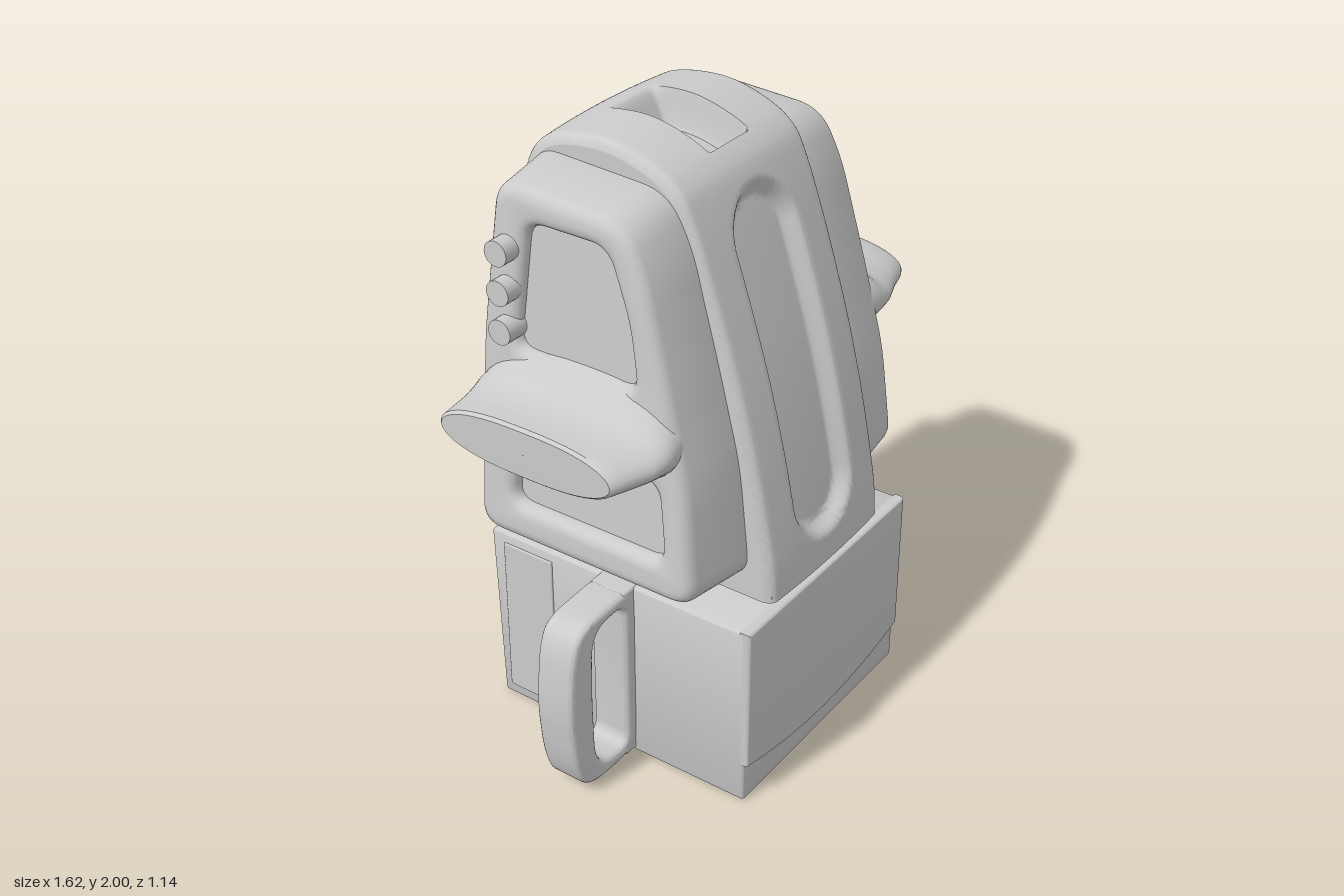
import * as THREE from 'three';
import { toCreasedNormals } from 'three/addons/utils/BufferGeometryUtils.js';
import { RoundedBoxGeometry } from 'three/addons/geometries/RoundedBoxGeometry.js';

const grey = new THREE.MeshStandardMaterial({ color: 0xcccccc });
const greyDouble = new THREE.MeshStandardMaterial({ color: 0xcccccc, side: THREE.DoubleSide });
const smooth = THREE.MathUtils.smoothstep;

function add(parent, name, geometry, x = 0, y = 0, z = 0, material = grey) {
  const mesh = new THREE.Mesh(geometry, material);
  mesh.name = name;
  mesh.position.set(x, y, z);
  parent.add(mesh);
  return mesh;
}

// Polygon with rounded corners, always counter-clockwise
function rounded(pts, r, path = new THREE.Shape()) {
  const v = pts.map(p => new THREE.Vector2(...p)), n = v.length;
  if (THREE.ShapeUtils.isClockWise(v)) v.reverse();
  const toward = (a, b) => a.clone().lerp(b, Math.min(0.48, r / a.distanceTo(b)));
  v.forEach((p, i) => {
    const s = toward(p, v[(i + n - 1) % n]), e = toward(p, v[(i + 1) % n]);
    if (i === 0) path.moveTo(s.x, s.y); else path.lineTo(s.x, s.y);
    path.quadraticCurveTo(p.x, p.y, e.x, e.y);
  });
  path.closePath();
  return path;
}

// Extrusion whose outline stays at full size; bevel is cut inward
function extrude(shape, length, bevel) {
  return new THREE.ExtrudeGeometry(shape, {
    depth: length - 2 * bevel, bevelEnabled: bevel > 0, bevelThickness: bevel, bevelSize: bevel,
    bevelOffset: -bevel, bevelSegments: 4, curveSegments: 8,
  }).translate(0, 0, bevel);
}

// Moves every vertex by a rule
function bend(geometry, rule) {
  const p = geometry.attributes.position, v = new THREE.Vector3();
  for (let i = 0; i < p.count; i++) {
    rule(v.fromBufferAttribute(p, i));
    p.setXYZ(i, v.x, v.y, v.z);
  }
  return toCreasedNormals(geometry, 0.6);
}

function gridGeometry(positions, rows, cols, crease) {
  const index = [];
  for (let r = 0; r < rows - 1; r++) for (let c = 0; c < cols - 1; c++) {
    const a = r * cols + c, b = a + 1, d = a + cols;
    index.push(a, b, d, b, d + 1, d);
  }
  const g = new THREE.BufferGeometry();
  g.setAttribute('position', new THREE.Float32BufferAttribute(positions, 3));
  g.setIndex(index);
  return toCreasedNormals(g, crease);
}

// Central column: side profile swept across x, with a front groove and a top slot
function buildColumn(parent) {
  const half = 0.305, round = 0.03, rows = 340, cols = 91;
  const curve = new THREE.SplineCurve([[0.56, 0.66], [0.545, 0.81], [0.48, 1.13], [0.395, 1.44], [0.27, 1.8],
    [0.19, 1.925], [0.04, 1.99], [-0.1, 2], [-0.25, 1.965], [-0.335, 1.87], [-0.362, 1.7], [-0.385, 1.3],
    [-0.41, 0.66]].map(p => new THREE.Vector2(...p)));
  const positions = [], cap = [];
  for (let r = 0; r < rows; r++) {
    const p = curve.getPointAt(r / (rows - 1)), t = curve.getTangentAt(r / (rows - 1));
    for (let c = 0; c < cols; c++) {
      const x = half * (2 * c / (cols - 1) - 1);
      const s = Math.max(0, Math.abs(x) - half + round);
      let inset = round - Math.sqrt(Math.max(0, round * round - s * s)) + 0.012 * (x / half) ** 2;
      let drop = 0;
      if (p.x > 0.1) {
        const d = Math.hypot(x, p.y - THREE.MathUtils.clamp(p.y, 0.91, 1.68));
        inset += 0.045 * (1 - smooth(d, 0.112, 0.165));
      }
      if (p.y > 1.9) {
        drop = 0.12 * (1 - smooth(Math.abs(x), 0.085, 0.1)) * smooth(p.x, -0.18, -0.09) * (1 - smooth(p.x, 0.155, 0.17));
      }
      const z = p.x - t.y * inset, y = p.y + t.x * inset - drop;
      positions.push(x, y, z);
      if (c === 0) cap.push(new THREE.Vector2(-z, y));
    }
  }
  add(parent, 'columnShell', gridGeometry(positions, rows, cols, 1.0));
  for (const side of [-1, 1]) {
    add(parent, 'columnSide', new THREE.ShapeGeometry(new THREE.Shape(cap)).rotateY(Math.PI / 2),
      side * half, 0, 0, greyDouble);
  }
  add(parent, 'columnFloor', new THREE.BoxGeometry(0.59, 0.02, 0.93), 0, 0.671, 0.075);
}

// Side housing with two recessed panels, narrowing upward and outward
const upperPanel = [[-0.235, 1.39], [-0.2, 1.6], [-0.12, 1.81], [0.17, 1.81], [0.215, 1.39]];
const lowerPanel = [[-0.35, 0.85], [-0.32, 1.11], [0.2, 1.11], [0.23, 0.85]];
function buildHousing(parent) {
  const outline = rounded([[-0.47, 0.72], [-0.43, 1.1], [-0.35, 1.42], [-0.26, 1.75], [-0.18, 1.9],
    [0.29, 1.925], [0.35, 1.4], [0.37, 0.72]], 0.09);
  const taper = v => {
    const out = v.x / 0.3;
    v.x = 0.27 + v.x * (1 - 0.2 * (v.y - 0.78) / 1.1);
    v.y = 1.3 + (v.y - 1.3) * (1 - 0.05 * out);
    v.z = 0.04 + (v.z - 0.04) * (1 - 0.06 * out);
  };
  for (const panel of [upperPanel, lowerPanel]) {
    outline.holes.push(rounded(panel, 0.06, new THREE.Path()));
    add(parent, 'recessedPanel', bend(extrude(rounded(panel, 0.06), 0.255, 0).rotateY(Math.PI / 2), taper));
  }
  add(parent, 'housing', bend(extrude(outline, 0.3, 0.04).rotateY(Math.PI / 2), taper));
}

// Flat side arm lofted from oval sections: [x, z centre, half depth, half height, y centre]
function buildArm(parent, tip) {
  const sections = [[0.47, 0.03, 0.34, 0.16, 1.24], [0.54, 0.03, 0.348, 0.14, 1.24], [0.57, 0.028, 0.35, 0.12, 1.235],
    [0.595, 0.027, 0.348, 0.098, 1.23], [0.635, 0.025, 0.342, 0.084, 1.225], [0.72, 0.015, 0.32, 0.083, 1.225], ...tip];
  const n = 49, positions = [];
  for (let j = 0; j < n; j++) {
    const a = 2 * Math.PI * j / (n - 1), c = Math.cos(a);
    for (const [x, zc, hz, hy, yc] of sections) {
      positions.push(x, yc + hy * Math.sin(a), zc + hz * Math.sign(c) * Math.abs(c) ** 0.75);
    }
  }
  add(parent, 'sideArm', gridGeometry(positions, n, sections.length, 0.6));
}

// D-shaped carrying handle, plus the cover plate on the base side
function buildBaseSide(parent) {
  const shape = rounded([[0.43, 0.02], [0.56, 0.01], [0.7, 0.025], [0.745, 0.14], [0.766, 0.34], [0.745, 0.55],
    [0.7, 0.63], [0.43, 0.64]], 0.08);
  shape.holes.push(rounded([[0.487, 0.055], [0.61, 0.065], [0.645, 0.13], [0.65, 0.34], [0.645, 0.54], [0.61, 0.59],
    [0.487, 0.595]], 0.05, new THREE.Path()));
  add(parent, 'carryHandle', toCreasedNormals(extrude(shape, 0.135, 0.018), 0.6), 0, 0, 0.01);
  for (const y of [0.035, 0.615]) {
    add(parent, 'handleMount', new RoundedBoxGeometry(0.09, 0.045, 0.13, 2, 0.01), 0.45, y, 0.078);
  }
  add(parent, 'coverPlate', new RoundedBoxGeometry(0.012, 0.56, 0.19, 2, 0.005), 0.445, 0.32, -0.265);
}

function buildBase(parent) {
  const body = new RoundedBoxGeometry(0.89, 0.635, 0.96, 3, 0.012);
  add(parent, 'baseBody', bend(body, v => { if (v.z < 0 && v.y < 0) v.z += 0.02; }), 0, 0.3175, 0.07);
  // Front plate with a sagging lower edge
  const plate = new THREE.Shape();
  plate.moveTo(-0.445, 0.14);
  plate.quadraticCurveTo(0, 0.02, 0.445, 0.14);
  plate.lineTo(0.445, 0.638);
  plate.lineTo(-0.445, 0.638);
  add(parent, 'frontPlate', toCreasedNormals(extrude(plate, 0.04, 0.01), 0.6), 0, 0, 0.524);
  add(parent, 'turntable', new THREE.CylinderGeometry(0.2, 0.21, 0.04, 48), 0, 0.65, 0.08);
  add(parent, 'switchFrame', new RoundedBoxGeometry(0.02, 0.21, 0.14, 2, 0.006), 0.448, 0.195, -0.262);
  add(parent, 'switchKey', new RoundedBoxGeometry(0.02, 0.1, 0.1, 2, 0.006), 0.454, 0.19, -0.262);
}

function buildEyepiece(parent) {
  const profile = [[0, 0], [0.135, 0], [0.135, 0.035], [0.125, 0.045], [0.1, 0.048], [0.1, 0.11], [0.088, 0.115],
    [0.088, 0.135], [0.115, 0.142], [0.125, 0.15], [0.125, 0.178], [0.115, 0.184], [0.08, 0.184], [0.075, 0.165],
    [0.05, 0.165], [0.045, 0.08], [0, 0.08]];
  const g = new THREE.LatheGeometry(profile.map(p => new THREE.Vector2(...p)), 48);
  add(parent, 'eyepiece', toCreasedNormals(g.rotateX(-Math.PI / 2), 0.5), 0, 1.335, -0.388);
}

// Hanging lever below the left arm and the bracket that holds it
function buildLever(parent) {
  const lever = rounded([[0.728, 1.19], [0.745, 0.95], [0.74, 0.77], [0.705, 0.645], [0.765, 0.58], [0.835, 0.68],
    [0.855, 0.85], [0.848, 1.02], [0.82, 1.19]], 0.03);
  add(parent, 'lever', bend(extrude(lever, 0.13, 0.015), v => {
    v.z += 0.012 - 0.05 * smooth(v.y, 0.75, 1.2);
  }));
  const link = rounded([[0.29, 0.1], [0.36, 0.1], [0.5, 0], [0.76, -0.03], [0.76, -0.12], [0.5, -0.15], [0.36, -0.24],
    [0.29, -0.24]], 0.03);
  add(parent, 'leverLink', bend(extrude(link, 0.035, 0.006).rotateX(-Math.PI / 2), v => {
    v.y += 0.685 + 0.16 * (v.x - 0.31);
  }));
  add(parent, 'linkBracket', new RoundedBoxGeometry(0.05, 0.06, 0.38, 2, 0.01), 0.31, 0.695, 0.07);
  for (const z of [0.235, -0.085]) {
    add(parent, 'bracketScrew', new THREE.CylinderGeometry(0.022, 0.022, 0.02, 20).rotateZ(Math.PI / 2), 0.34, 0.695, z);
  }
}

export function createModel() {
  const model = new THREE.Group();
  model.name = 'instrument';
  const body = new THREE.Group();
  body.name = 'body';
  body.position.x = -0.045;
  model.add(body);

  buildBase(body);
  buildColumn(body);
  buildEyepiece(body);
  buildLever(body);

  const shortTip = [[0.755, 0.01, 0.31, 0.083, 1.225], [0.765, 0.01, 0.3, 0.074, 1.225], [0.766, 0.01, 0.001, 0.001, 1.225]];
  const longTip = [[0.79, 0.01, 0.305, 0.082, 1.222], [0.82, 0.01, 0.29, 0.075, 1.22], [0.838, 0.01, 0.24, 0.06, 1.22],
    [0.848, 0.01, 0.12, 0.035, 1.22], [0.85, 0.01, 0.001, 0.001, 1.22]];
  for (const side of [1, -1]) {
    const half = new THREE.Group();
    half.name = side > 0 ? 'leftSide' : 'rightSide';
    half.scale.x = side;
    body.add(half);
    buildHousing(half);
    buildArm(half, side > 0 ? longTip : shortTip);
    buildBaseSide(half);
  }

  // Three push buttons on the right housing
  for (const y of [1.7, 1.575, 1.45]) {
    const button = new THREE.CylinderGeometry(0.04, 0.04, 0.09, 28).rotateZ(Math.PI / 2);
    add(body, 'pushButton', button, -0.525, y, -0.225);
  }
  return model;
}
